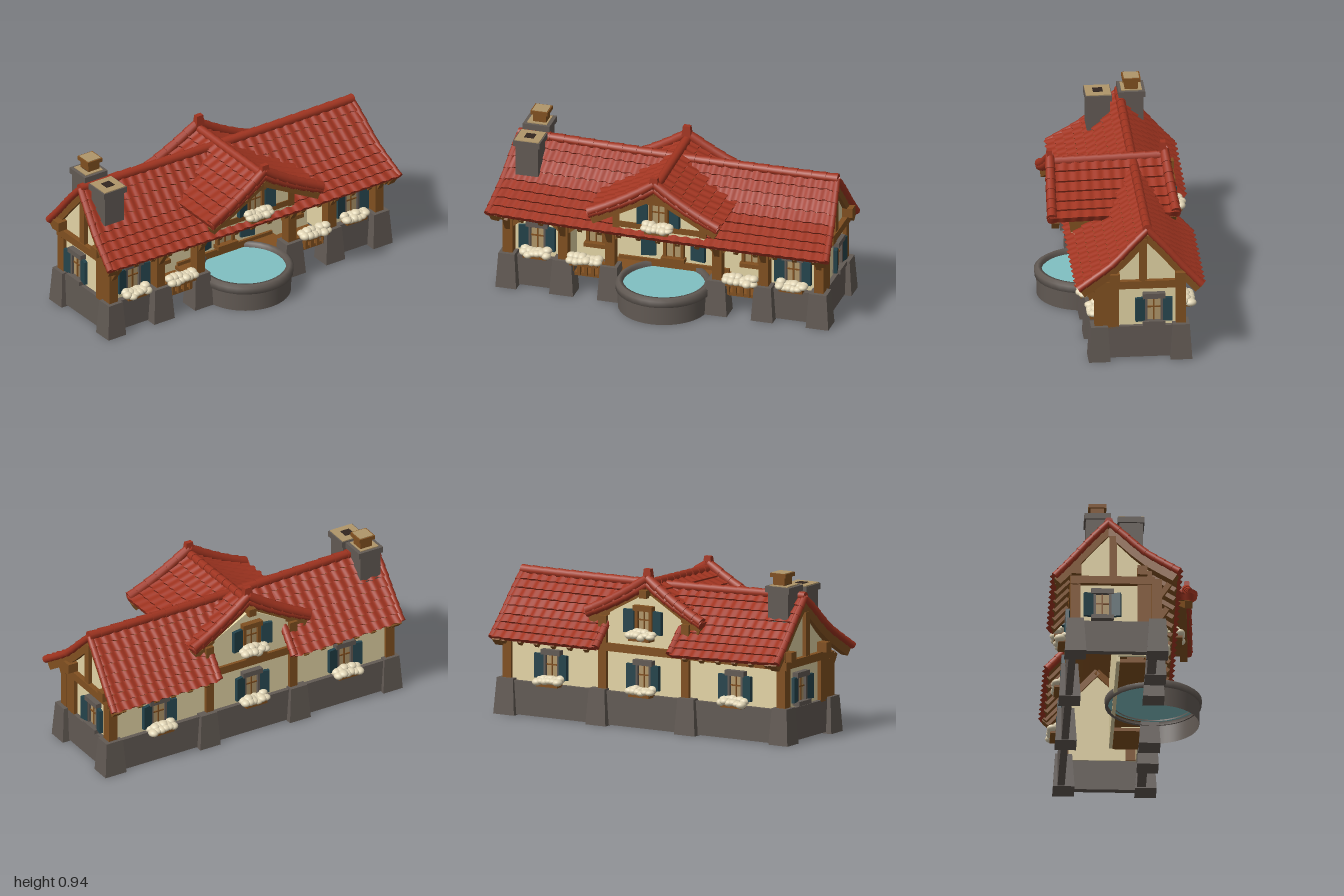
import * as THREE from 'three';

const mat = (name, color, side = THREE.FrontSide) => {
  const m = new THREE.MeshStandardMaterial({ color, side });
  m.name = name;
  return m;
};
const M = {
  red: mat('roof tile red', 0xa03420, THREE.DoubleSide),
  wood: mat('timber brown', 0x815020, THREE.DoubleSide),
  stone: mat('stone grey', 0x625a54, THREE.DoubleSide),
  cream: mat('plaster cream', 0xe3d4a5, THREE.DoubleSide),
  teal: mat('shutter teal', 0x25444c),
  water: mat('water blue', 0x80c0c2, THREE.DoubleSide),
  flower: mat('blossom cream', 0xe2d6b6),
  tan: mat('pane tan', 0xb0966a),
  dark: mat('hollow dark', 0x33261f),
};
const V = (x, y, z) => new THREE.Vector3(x, y, z);

export function createModel() {
  const root = new THREE.Group();
  root.name = 'farmhouse';
  const house = new THREE.Group();
  house.name = 'house';
  house.rotation.y = 0.05;
  root.add(house);

  let seed = 7;
  const rnd = () => (seed = (seed * 16807) % 2147483647) / 2147483647;
  const add = (name, geo, m, parent = house) => {
    const mesh = new THREE.Mesh(geo, m);
    mesh.name = name;
    parent.add(mesh);
    return mesh;
  };
  // box by centre; taper scales the top
  const box = (name, m, w, h, d, x, y, z, parent = house, taper = 1) => {
    const g = new THREE.BoxGeometry(w, h, d), p = g.attributes.position;
    if (taper !== 1) {
      for (let i = 0; i < p.count; i++)
        if (p.getY(i) > 0) p.setXYZ(i, p.getX(i) * taper, p.getY(i), p.getZ(i) * taper);
      g.computeVertexNormals();
    }
    const b = add(name, g, m, parent);
    b.position.set(x, y, z);
    return b;
  };
  const beam = (name, a, b, t = 0.04) => {
    const s = box(name, M.wood, t, t, a.distanceTo(b), 0, 0, 0);
    s.position.copy(a).lerp(b, 0.5);
    s.quaternion.setFromRotationMatrix(new THREE.Matrix4().lookAt(b, a, V(0, 1, 0)));
  };
  // overlapping round tiles along a path
  const tileRun = (name, path, n, r) => {
    for (let i = 0; i < n; i++) {
      const a = path(i / n), b = path(Math.min(1, (i + 1.2) / n)), len = a.distanceTo(b);
      const c = add(name, new THREE.CylinderGeometry(r * 1.1, r * 0.9, len, 10), M.red);
      c.position.copy(a).lerp(b, 0.5);
      c.quaternion.setFromUnitVectors(V(0, 1, 0), b.clone().sub(a).normalize());
    }
  };

  // sheet lofted over fn(u, v); each line is [v, lift, wave, joinsNext]
  const sheet = (name, m, fn, lines, u0, u1, n) => {
    const pos = [], idx = [];
    lines.forEach(([v, lift, wave, join], k) => {
      for (let i = 0; i <= n; i++) {
        const u = u0 + (u1 - u0) * i / n, w = wave * (0.5 - 0.5 * Math.cos(i * Math.PI / 3));
        const p = fn(u, v + w * 0.02);
        const nrm = fn(u + 0.01, v).sub(fn(u - 0.01, v)).cross(fn(u, v + 0.01).sub(fn(u, v - 0.01))).normalize();
        if (nrm.y < 0) nrm.negate();
        p.addScaledVector(nrm, lift + w * 0.01);
        pos.push(p.x, p.y, p.z);
        const a = k * (n + 1) + i, b = a + n + 1;
        if (join && i < n) idx.push(a, b, a + 1, b, b + 1, a + 1);
      }
    });
    const g = new THREE.BufferGeometry();
    g.setAttribute('position', new THREE.Float32BufferAttribute(pos, 3));
    g.setIndex(idx);
    g.computeVertexNormals();
    add(name, g, m);
  };
  const tiledSlope = (name, fn, u0, u1, v0, v1, rows, cols) => {
    const lines = [], under = [];
    for (let r = 0; r < rows; r++) {
      const a = v0 + (v1 - v0) * r / rows, b = v0 + (v1 - v0) * (r + 1) / rows;
      lines.push([a, 0.002, 1, true], [b, 0.014, 1, false], [b, 0.014, 1, true], [b, -0.018, 0, false]);
    }
    for (let r = 0; r <= 8; r++) under.push([v0 + (v1 - v0) * r / 8, -0.018, 0, r < 8]);
    sheet(name, M.red, fn, lines, u0, u1, cols * 6);
    sheet(name + 'Underside', M.wood, fn, under, u0, u1, 12);
  };

  // main roof, sagging slopes on both sides of the ridge
  const frontCurve = new THREE.CatmullRomCurve3([V(0, 0.782, -0.095), V(0, 0.69, 0), V(0, 0.59, 0.1), V(0, 0.52, 0.2), V(0, 0.457, 0.295)]);
  const backCurve = new THREE.CatmullRomCurve3([V(0, 0.782, -0.095), V(0, 0.67, -0.2), V(0, 0.553, -0.3), V(0, 0.45, -0.395)]);
  const mainSlope = (curve, len, s) => (u, v) => {
    const p = curve.getPoint(THREE.MathUtils.clamp(v, 0, 1));
    if (v > 1) p.addScaledVector(curve.getTangent(1), (v - 1) * 0.5);
    p.x = u * (0.925 + (len - 0.925) * v) - 0.01 * v * s;
    p.y += 0.01 * u * u - 0.014 * u;
    return p;
  };
  const front = mainSlope(frontCurve, 0.985, 1), back = mainSlope(backCurve, 0.935, -1);
  tiledSlope('frontRoof', front, -1, 1, 0, 1, 8, 30);
  tiledSlope('backRoofRight', back, 0.27, 1, 0, 1, 8, 11);
  tiledSlope('backRoofLeft', back, -1, -0.25, 0, 1, 8, 11);
  tiledSlope('backRoofCentre', back, -0.25, 0.27, 0, 0.5, 4, 8);
  tileRun('ridgeTile', t => front(2 * t - 1, 0).add(V(0, 0.006, 0)), 22, 0.026);
  for (const u of [-0.25, 0.27]) tileRun('innerVergeTile', t => back(u, 0.45 + 0.55 * t).add(V(0, 0.008, 0)), 5, 0.022);
  const drop = V(0, -0.045, 0);
  for (const s of [-1, 1]) {
    for (const fn of [front, back]) {
      tileRun('vergeTile', t => fn(s * 0.992, t), 8, 0.02);
      for (let i = 0; i < 5; i++)
        beam('bargeBoard', fn(s * 0.965, i * 0.188).add(drop), fn(s * 0.965, i * 0.188 + 0.195).add(drop), 0.05);
    }
  }
  for (let i = 0; i <= 16; i++) {
    const u = -0.92 + i * 0.115, low = V(0, -0.035, 0);
    beam('rafter', front(u, 0.62).add(low), front(u, 0.96).add(low), 0.025);
    if (Math.abs(u) > 0.3) beam('rafter', back(u, 0.7).add(low), back(u, 0.96).add(low), 0.025);
  }

  // cross gable roof with raised verges
  for (const s of [-1, 1]) {
    const fn = (u, v) => V(s * 0.375 * v, 0.8 + 0.015 * u - 0.24 * v + 0.05 * v * v,
      THREE.MathUtils.lerp(0.385 + 0.022 * v, -0.285 - 0.035 * v, u));
    tiledSlope('crossRoof', fn, 0, 1, 0, 1, 6, 11);
    for (const u of [0.025, 0.975]) {
      tileRun('crossVergeTile', t => fn(u, t).add(V(0, 0.035 - 0.02 * t, 0)), 6, 0.027);
      tileRun('crossVergeBed', t => fn(u, t), 6, 0.024);
      const off = V(0, -0.045, u < 0.5 ? -0.02 : 0.02);
      beam('crossBarge', fn(u, 0).add(off), fn(u, 0.96).add(off), 0.042);
    }
  }
  tileRun('crossRidgeTile', t => V(0, 0.803 + 0.015 * t, 0.38 - 0.66 * t), 10, 0.025);
  box('vergeCrown', M.red, 0.055, 0.05, 0.035, 0, 0.85, 0.37, house, 0.75);
  box('vergeCrown', M.red, 0.055, 0.06, 0.038, 0, 0.872, -0.26, house, 0.75);
  box('ridgeBeam', M.wood, 0.045, 0.045, 0.68, 0, 0.765, 0.02);

  // plaster walls
  const wallShape = (name, pts, place) => {
    const g = new THREE.ExtrudeGeometry(new THREE.Shape(pts.map(p => new THREE.Vector2(...p))), { depth: 0.02, bevelEnabled: false });
    place(add(name, g, M.cream));
  };
  for (const s of [-1, 1]) {
    wallShape('endWall', [[-0.13, 0.19], [0.28, 0.19], [0.28, 0.52], [0.2, 0.63], [0.09, 0.74], [0, 0.65], [-0.13, 0.53]], m => {
      m.rotation.y = Math.PI / 2;
      m.position.x = s * 0.89 - 0.01;
    });
    box('bayWall', M.cream, 0.34, 0.3, 0.02, s * 0.74, 0.34, 0.13);
    box('porchSideWall', M.cream, 0.02, 0.34, 0.16, s * 0.575, 0.32, 0.05);
    box('backWall', M.cream, 0.62, 0.28, 0.02, s * 0.58, 0.33, -0.28);
    box('gableCheek', M.wood, 0.02, 0.14, 0.3, s * 0.25, 0.55, 0.11);
  }
  box('porchWall', M.cream, 1.14, 0.4, 0.02, 0, 0.32, -0.03);
  const peak = y => [[-0.26, y], [0.26, y], [0.26, 0.625], [0, 0.765], [-0.26, 0.625]];
  wallShape('frontGableWall', peak(0.45), m => { m.position.z = 0.25; });
  wallShape('backGableWall', peak(0.19), m => { m.position.z = -0.29; });

  // stone base and buttresses
  const buttress = (x, z) => box('buttress', M.stone, 0.12 + rnd() * 0.02, 0.205, 0.12, x, 0.1075, z, house, 0.78);
  box('backBase', M.stone, 1.8, 0.19, 0.04, 0, 0.105, -0.295);
  for (const s of [-1, 1]) {
    box('endBase', M.stone, 0.04, 0.185, 0.46, s * 0.905, 0.1075, -0.07);
    box('bayBase', M.stone, 0.36, 0.18, 0.05, s * 0.74, 0.1, 0.15);
    for (const x of [0.9, 0.58, 0.31]) buttress(s * x, 0.175);
    buttress(s * 0.895, -0.28);
    buttress(s * 0.29, -0.29);
  }

  // timber frame
  box('frontPlate', M.wood, 1.86, 0.04, 0.05, 0, 0.44, 0.17);
  box('backPlate', M.wood, 1.86, 0.045, 0.045, 0, 0.445, -0.285);
  for (const s of [-1, 1]) {
    for (const x of [0.9, 0.58, 0.31]) {
      box('frontPost', M.wood, 0.055, 0.26, 0.06, s * x, 0.33, 0.17);
      if (x < 0.9) beam('kneeBrace', V(s * x, 0.36, 0.17), V(s * (x + 0.085), 0.43, 0.17), 0.025);
      beam('kneeBrace', V(s * x, 0.36, 0.17), V(s * (x - 0.085), 0.43, 0.17), 0.025);
      beam('eaveBrace', V(s * x, 0.35, 0.18), V(s * x, 0.44, 0.24), 0.03);
    }
    box('endPost', M.wood, 0.05, 0.32, 0.08, s * 0.9, 0.35, 0.105);
    box('backCornerPost', M.wood, 0.055, 0.33, 0.055, s * 0.895, 0.36, -0.28);
    box('backPost', M.wood, 0.05, 0.42, 0.045, s * 0.27, 0.41, -0.29);
    box('gablePost', M.wood, 0.04, 0.13, 0.04, s * 0.25, 0.555, 0.255);
    // end gable truss
    box('tieBeam', M.wood, 0.05, 0.045, 0.46, s * 0.905, 0.45, -0.07);
    box('kingPost', M.wood, 0.04, 0.25, 0.042, s * 0.905, 0.595, -0.07);
    for (const z of [0.09, -0.275]) box('purlinEnd', M.wood, 0.12, 0.055, 0.055, s * 0.9, 0.5, z);
    // porch deck and railing
    box('deck', M.wood, 0.24, 0.02, 0.2, s * 0.45, 0.125, 0.08);
    box('rail', M.wood, 0.24, 0.025, 0.03, s * 0.45, 0.205, 0.185);
    for (let i = 0; i < 5; i++) box('baluster', M.wood, 0.018, 0.08, 0.02, s * (0.37 + i * 0.04), 0.165, 0.185);
    // floor corner curving around the pool
    const floor = new THREE.Shape([new THREE.Vector2(s * 0.33, 0.185), new THREE.Vector2(s * 0.33, -0.03)]);
    for (let i = 8; i >= 0; i--) floor.lineTo(s * 0.25 * Math.cos(i * 0.126), 0.185 - 0.25 * Math.sin(i * 0.126));
    const slab = new THREE.ExtrudeGeometry(floor, { depth: 0.02, bevelEnabled: false });
    slab.rotateX(Math.PI / 2);
    add('poolsideFloor', slab, M.wood).position.y = 0.16;
  }
  box('gableSill', M.wood, 0.54, 0.035, 0.04, 0, 0.515, 0.255);
  box('wallSkirting', M.wood, 0.64, 0.04, 0.02, 0, 0.16, -0.015);

  // planters heaped with blossoms
  const planter = (x, y, z, w, parent = house) => {
    box('planter', M.wood, w * 0.8, 0.026, 0.06, x, y - 0.022, z, parent);
    for (let i = 0; i < 12; i++) {
      const b = add('blossoms', new THREE.IcosahedronGeometry(0.03, 2), M.flower, parent);
      const row = i % 2;
      b.position.set(x + w * (Math.floor(i / 2) / 5 - 0.5) * 0.76, y + 0.005 - row * 0.012 + (rnd() - 0.5) * 0.014, z - 0.01 + row * 0.026 + (rnd() - 0.5) * 0.014);
      b.scale.set(0.95, 0.55 + rnd() * 0.2, 0.9 + rnd() * 0.25);
    }
  };
  for (const s of [-1, 1]) planter(s * 0.45, 0.238, 0.215, 0.2);

  // windows facing local +z
  const windowUnit = (x, y, z, turn, { shutters = true, flowers = false, frame = M.stone, w = 0.11, h = 0.16, leaf = 0.056, gap = 0 } = {}) => {
    const g = new THREE.Group();
    g.name = 'window';
    g.position.set(x, y, z);
    g.rotation.y = turn;
    house.add(g);
    box('pane', M.tan, w - 0.02, h - 0.02, 0.008, 0, 0, 0.006, g);
    for (const s of [-1, 1]) {
      box('jamb', frame, 0.018, h, 0.03, s * (w / 2 - 0.009), 0, 0.01, g);
      if (shutters) box('shutter', M.teal, leaf, h - 0.02, 0.02, s * (w / 2 + gap + leaf / 2 - 0.004), 0, 0.022, g).rotation.y = s * -0.2;
    }
    box('lintel', frame, w + 0.015, 0.03, 0.04, 0, h / 2, 0.015, g);
    box('sill', frame, w + 0.015, 0.024, 0.05, 0, -h / 2, 0.02, g);
    box('mullion', M.wood, 0.008, h - 0.02, 0.012, 0, 0, 0.009, g);
    box('crossbar', M.wood, w - 0.02, 0.008, 0.012, 0, 0.01, 0.009, g);
    if (flowers) planter(0, -h / 2 + 0.006, 0.045, 0.17, g);
  };
  for (const s of [-1, 1]) {
    windowUnit(s * 0.74, 0.305, 0.14, 0, { flowers: true });
    windowUnit(s * 0.45, 0.31, -0.02, 0, { shutters: false, frame: M.wood });
    windowUnit(s * 0.9, 0.3, -0.13, s * Math.PI / 2, { leaf: 0.052 });
    windowUnit(s * 0.6, 0.3, -0.29, Math.PI, { flowers: true });
  }
  windowUnit(0, 0.29, -0.02, 0, { w: 0.12, h: 0.18, frame: M.wood, leaf: 0.085, gap: 0.045 });
  const gableWindow = { flowers: true, frame: M.wood, h: 0.15, leaf: 0.062, gap: 0.012 };
  windowUnit(0, 0.61, 0.27, 0, gableWindow);
  windowUnit(0, 0.61, -0.29, Math.PI, gableWindow);
  windowUnit(0, 0.3, -0.29, Math.PI, { flowers: true });

  // round pool: full rim, front half wall
  const ring = (name, pts, start, sweep) => {
    const g = new THREE.LatheGeometry(pts.map(p => new THREE.Vector2(...p)), 32, start, sweep);
    add(name, g, M.stone).position.set(0, 0, 0.185);
  };
  ring('poolWall', [[0.255, 0.005], [0.258, 0.115]], -Math.PI / 2, Math.PI);
  ring('poolRim', [[0.25, 0.115], [0.268, 0.115], [0.27, 0.152], [0.25, 0.166], [0.23, 0.163], [0.228, 0.13]], 0, Math.PI * 2);
  const water = add('poolWater', new THREE.CircleGeometry(0.255, 32), M.water);
  water.rotation.x = -Math.PI / 2;
  water.position.set(0, 0.138, 0.185);

  // chimneys
  const chimney = (z, top, rim) => {
    box('chimneyStack', M.stone, 0.13, 0.2, 0.13, -0.82, top - 0.11, z);
    box('chimneyCap', M.stone, 0.155, 0.034, 0.148, -0.82, top - 0.017, z);
    box('chimneyTop', M.tan, rim, 0.006, rim, -0.82, top + 0.002, z);
    box('flue', M.dark, 0.055, 0.006, 0.055, -0.82, top + 0.005, z);
  };
  chimney(0.03, 0.853, 0.14);
  chimney(-0.155, 0.872, 0.115);
  box('chimneyPot', M.wood, 0.075, 0.05, 0.075, -0.81, 0.9, -0.155);
  box('chimneyPotCap', M.wood, 0.1, 0.022, 0.1, -0.81, 0.933, -0.155);
  box('chimneyPotTop', M.tan, 0.085, 0.004, 0.085, -0.81, 0.945, -0.155);

  return root;
}
